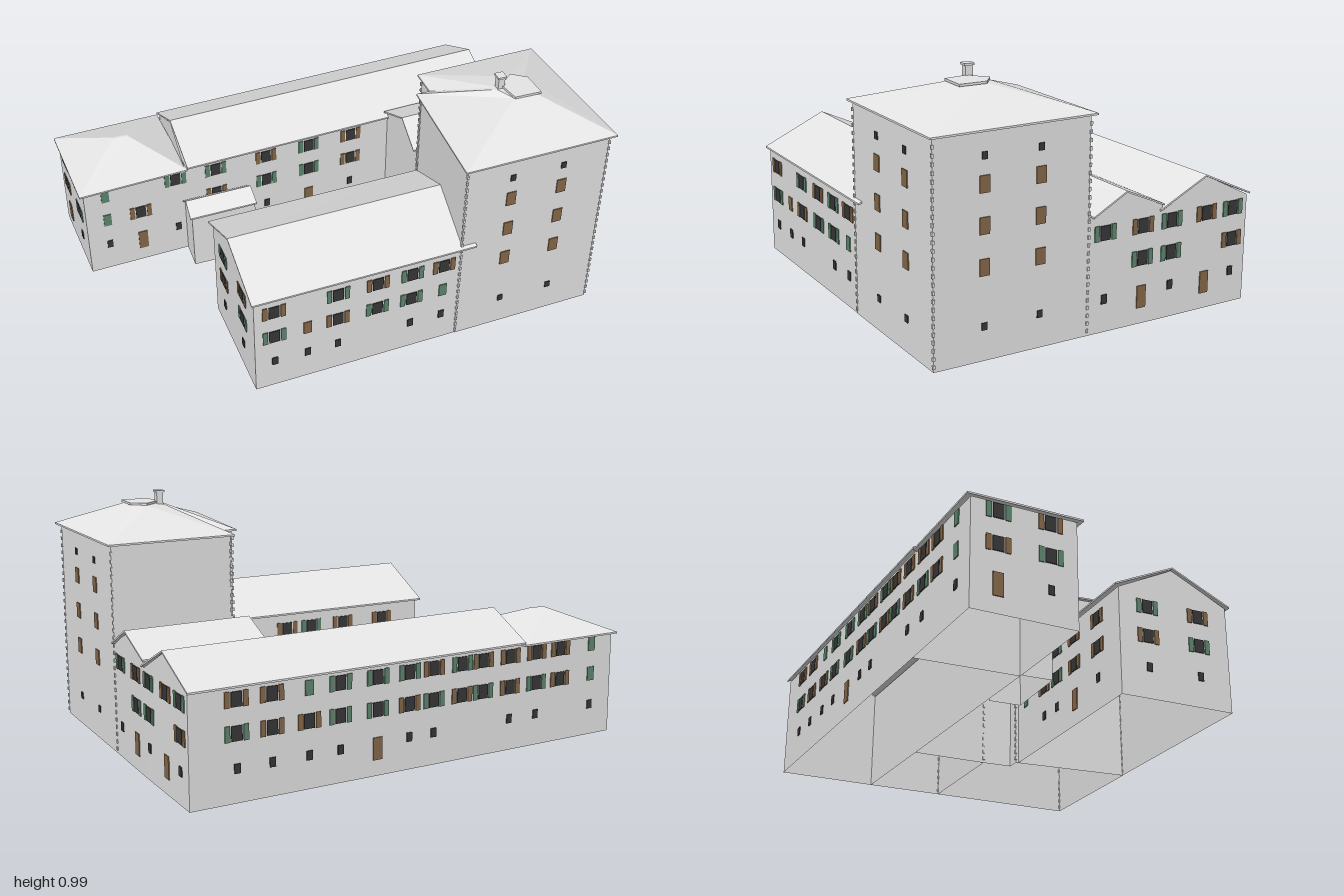
import * as THREE from 'three';

const mat = (name, color, side = THREE.FrontSide) => {
  const m = new THREE.MeshStandardMaterial({ color, side });
  m.name = name;
  return m;
};

export function createModel() {
  const model = new THREE.Group();
  model.name = 'courtyardHouse';
  const plaster = mat('plaster grey', 0xe5e5e5, THREE.DoubleSide);
  const glass = mat('dark glass', 0x383838);
  const green = mat('green shutter', 0x5e886f);
  const brown = mat('brown wood', 0x88694a);

  // Flat-shaded mesh from convex polygons
  function polyMesh(name, polys, material) {
    const pos = [];
    for (const p of polys)
      for (let i = 1; i < p.length - 1; i++) pos.push(...p[0], ...p[i], ...p[i + 1]);
    const g = new THREE.BufferGeometry();
    g.setAttribute('position', new THREE.Float32BufferAttribute(pos, 3));
    g.computeVertexNormals();
    const mesh = new THREE.Mesh(g, material);
    mesh.name = name;
    model.add(mesh);
  }

  // Open-bottomed walls round a counter-clockwise plan; gables maps wall index to peak height
  function walls(name, plan, h, gables = {}, skip = []) {
    const faces = plan.map((a, i) => {
      const b = plan[(i + 1) % plan.length];
      const face = [[a[0], 0, a[1]], [b[0], 0, b[1]], [b[0], h, b[1]]];
      if (gables[i]) face.push([(a[0] + b[0]) / 2, gables[i], (a[1] + b[1]) / 2]);
      face.push([a[0], h, a[1]]);
      return face;
    });
    polyMesh(name, faces.filter((f, i) => !skip.includes(i)), plaster);
  }

  // Roof shell: top faces, underside and rim
  function roof(name, rim, faces, t = 0.007) {
    const down = p => [p[0], p[1] - t, p[2]];
    const edge = rim.map((a, i) => {
      const b = rim[(i + 1) % rim.length];
      return [down(a), down(b), b, a];
    });
    polyMesh(name, [...faces, ...faces.map(f => f.map(down).reverse()), ...edge], plaster);
  }

  // Two-slope roof: corners FL, FR, BR, BL and ridge ends L, R
  function gableRoof(name, corners, ridge, eaveY, ridgeY) {
    const [fl, fr, br, bl] = corners.map(([x, z]) => [x, eaveY, z]);
    const [l, r] = ridge.map(([x, z]) => [x, ridgeY, z]);
    roof(name, [fl, fr, r, br, bl, l], [[fl, fr, r, l], [br, bl, l, r]]);
  }

  // Plans: front-left, front-right, back-right, back-left
  const front = [[-0.485, 0.715], [0.4, 0.67], [0.4, 0.18], [-0.505, 0.225]];
  const back = [[-0.515, -0.195], [0.93, -0.315], [0.905, -0.722], [-0.525, -0.61]];
  const link = [[0.445, 0.04], [0.945, 0.012], [0.93, -0.315], [0.43, -0.273]];
  const pavilion = [[-0.955, -0.165], [-0.515, -0.195], [-0.525, -0.61], [-0.985, -0.574]];
  const porch = [[-0.525, -0.07], [-0.245, -0.08], [-0.245, -0.21], [-0.525, -0.19]];
  const tower = [[0.37, 0.674], [0.977, 0.643], [0.945, 0.012], [0.445, 0.04], [0.445, 0.165], [0.39, 0.168]];

  walls('frontWingWalls', front, 0.45, { 3: 0.57 }, [1]);
  walls('backWingWalls', back, 0.427, { 1: 0.53, 3: 0.53 });
  walls('linkWingWalls', link, 0.45, { 1: 0.525, 3: 0.525 }, [0, 2]);
  walls('pavilionWalls', pavilion, 0.418, {}, [1]);
  walls('porchWalls', porch, 0.262, { 1: 0.298, 3: 0.298 }, [2]);
  walls('towerWalls', tower, 0.83);

  gableRoof('frontWingRoof', [[-0.495, 0.73], [0.43, 0.685], [0.4, 0.16], [-0.52, 0.205]],
    [[-0.51, 0.468], [0.42, 0.42]], 0.457, 0.577);
  gableRoof('backWingRoof', [[-0.505, -0.185], [0.938, -0.303], [0.908, -0.735], [-0.535, -0.625]],
    [[-0.52, -0.405], [0.925, -0.515]], 0.435, 0.537);
  gableRoof('linkWingRoof', [[0.43, 0.03], [0.96, 0.0], [0.935, -0.318], [0.415, -0.28]],
    [[0.43, -0.11], [0.95, -0.145]], 0.457, 0.533);
  gableRoof('porchRoof', [[-0.535, -0.055], [-0.24, -0.07], [-0.245, -0.2], [-0.535, -0.185]],
    [[-0.535, -0.13], [-0.245, -0.145]], 0.268, 0.307);

  // Hipped roofs: each eave edge rises to a matching edge of the inner ring
  function hipRoof(name, eaves, tops) {
    const n = eaves.length;
    const sides = eaves.map((a, i) => [a, eaves[(i + 1) % n], tops[(i + 1) % n], tops[i]]);
    roof(name, eaves, [...sides.flatMap(([a, b, c, d]) => [[a, b, c], [a, c, d]]), tops]);
  }
  const at = (y, pts) => pts.map(([x, z]) => [x, y, z]);
  hipRoof('pavilionRoof', at(0.425, [[-0.972, -0.145], [-0.505, -0.188], [-0.535, -0.625], [-1, -0.592]]),
    at(0.513, [[-0.775, -0.385], [-0.71, -0.385], [-0.71, -0.395], [-0.775, -0.395]]));
  hipRoof('towerRoof', at(0.838, [[0.355, 0.692], [1, 0.66], [0.96, -0.008], [0.432, 0.025], [0.432, 0.15], [0.375, 0.152]]),
    at(0.938, [[0.66, 0.435], [0.755, 0.435], [0.755, 0.32], [0.71, 0.29], [0.632, 0.345], [0.622, 0.358]]));

  // Raised cap on the tower roof
  const cap = at(0.948, [[0.66, 0.442], [0.772, 0.44], [0.768, 0.33], [0.71, 0.288], [0.645, 0.35]]);
  roof('towerRoofCap', cap, [cap], 0.009);

  function box(name, w, h, d, material, x, y, z, parent = model) {
    const m = new THREE.Mesh(new THREE.BoxGeometry(w, h, d), material);
    m.name = name;
    m.position.set(x, y, z);
    parent.add(m);
    return m;
  }
  box('chimney', 0.027, 0.1, 0.03, plaster, 0.641, 0.935, 0.343);
  box('chimneyCap', 0.036, 0.008, 0.04, plaster, 0.641, 0.988, 0.343);

  // Small toothed corner stones on the tower
  for (const i of [0, 1, 2, 3, 5]) {
    const [x, z] = tower[i];
    for (let k = 0; k < 27; k++)
      box('cornerStone', 0.009, 0.014, 0.009, plaster, x, 0.02 + k * 0.03, z).rotation.y = 0.05;
  }

  // Openings: thin plates placed on wall i of a plan by x or z, facing outwards
  function opening(plan, i, axis, v, y, kind, wood = green) {
    const a = plan[i], b = plan[(i + 1) % plan.length];
    const t = (v - a[axis]) / (b[axis] - a[axis]);
    const g = new THREE.Group();
    g.name = kind + 'Opening';
    g.position.set(a[0] + (b[0] - a[0]) * t, y, a[1] + (b[1] - a[1]) * t);
    g.rotation.y = Math.atan2(a[1] - b[1], b[0] - a[0]);
    model.add(g);
    const plate = (name, w, h, material, x = 0) => box(name, w, h, 0.004, material, x, 0, 0.0025, g);
    if (kind === 'window') {
      plate('pane', 0.043, 0.056, glass);
      for (const s of [-1, 1]) plate('shutter', 0.02, 0.06, wood, s * 0.037);
    } else if (kind === 'closed') plate('closedShutters', 0.033, 0.057, wood);
    else if (kind === 'tall') plate('closedShutters', 0.04, 0.062, wood);
    else if (kind === 'small') plate('pane', 0.024, 0.036, glass);
    else if (kind === 'tiny') plate('pane', 0.022, 0.027, glass);
    else plate('door', 0.04, 0.088, wood);
  }
  const TOP = 0.385, MID = 0.26, LOW = 0.13, DOOR = 0.108, X = 0, Z = 1;
  // One character per opening: g/b shuttered, G/B closed, s small, d door, - none
  const kinds = { g: 'window', b: 'window', G: 'closed', B: 'closed', s: 'small', d: 'door' };
  function rows(plan, i, axis, places, ...codes) {
    codes.forEach((code, r) => places.forEach((v, k) => {
      const c = code[k];
      if (c === '-') return;
      const y = c === 'd' ? DOOR : [TOP, MID, LOW][r];
      opening(plan, i, axis, v, y, kinds[c], 'bBd'.includes(c) ? brown : green);
    }));
  }
  rows(front, 0, X, [-0.405, -0.27, -0.145, 0.02, 0.165, 0.3], 'b-gbgb', 'gBbggG', 'sss-ss');
  rows(front, 2, X, [-0.33, -0.135, 0.02, 0.135, 0.31], 'bbgbG', 'bbgbG', 'sdss-');
  rows(front, 3, Z, [0.35, 0.58], 'gb', 'bg', 'ss');
  rows(link, 1, Z, [-0.06, -0.228], 'gb', '-g', 'sd');
  rows(back, 1, Z, [-0.36, -0.525, -0.653], 'gbg', 'g-b', 'sds');
  rows(back, 0, X, [-0.38, -0.15, 0.05, 0.25], 'gbgb', 'bggb', 'ssds');
  rows(back, 2, X, [0.72, 0.58, 0.43, 0.3, 0.14, 0.0, -0.11, -0.24, -0.34, -0.47],
    'bbGgggbgbb', 'gbbggbgbgb', 'ssssdss--s');
  rows(pavilion, 2, X, [-0.6, -0.72, -0.88], 'bbG', 'gbG', 's-s');
  rows(pavilion, 0, X, [-0.865, -0.72, -0.56], 'G-g', 'Gb-', 'sds');
  rows(pavilion, 3, Z, [-0.47, -0.27], 'gb', 'bg', 'ds');

  // Tower openings on the front and right faces
  for (const [i, axis, places] of [[0, X, [0.565, 0.783]], [1, Z, [0.443, 0.217]]])
    for (const v of places) {
      for (const y of [0.745, LOW]) opening(tower, i, axis, v, y, 'tiny');
      for (const y of [0.645, 0.497, 0.347]) opening(tower, i, axis, v, y, 'tall', brown);
    }
  return model;
}
